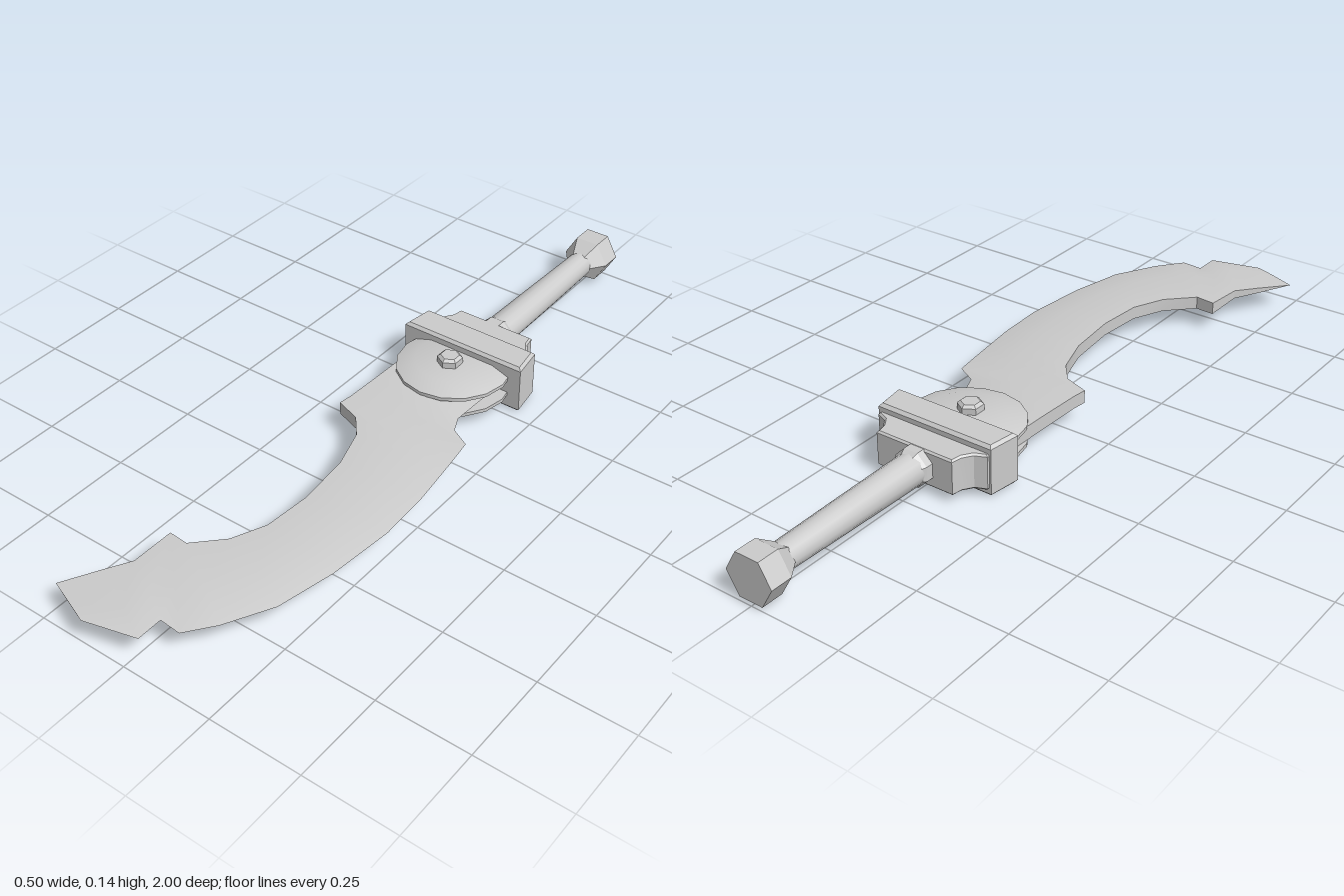
import * as THREE from 'three';
import { toCreasedNormals } from 'three/addons/utils/BufferGeometryUtils.js';

const MID = 0.07; // height of the flat symmetry plane
const material = new THREE.MeshStandardMaterial({ color: 0xcccccc });

function part(name, geometry, x = 0, y = MID, z = 0) {
  const mesh = new THREE.Mesh(toCreasedNormals(geometry, 0.5), material);
  mesh.name = name;
  mesh.position.set(x, y, z);
  return mesh;
}

// Plate with an outline in x,z and a chamfered rim, centred on the middle plane
function plate(outline, height, chamfer) {
  const shape = new THREE.Shape(outline.map(([x, z]) => new THREE.Vector2(x, z)));
  const depth = height - 2 * chamfer;
  return new THREE.ExtrudeGeometry(shape, {
    depth, bevelEnabled: true, bevelSegments: 1,
    bevelSize: chamfer, bevelThickness: chamfer, bevelOffset: -chamfer,
  }).translate(0, 0, -depth / 2).rotateX(Math.PI / 2);
}

// Lathe about y from radius, height pairs
function turned(profile, sides, phase = 0) {
  return new THREE.LatheGeometry(profile.map(p => new THREE.Vector2(...p)), sides, phase);
}

// Blade stations: spine x,z / cutting edge x,z / half thickness at spine and ridge
function bladeGeometry() {
  const stations = [
    [-0.12, -0.27, 0.14, -0.27, 0.02, 0.02],
    [-0.125, -0.10, 0.135, -0.085, 0.019, 0.02],
    [-0.13, 0.02, 0.155, -0.04, 0.018, 0.02],
    [-0.135, 0.06, 0.21, -0.01, 0.018, 0.02],
    [-0.065, 0.085, 0.222, 0.07, 0.018, 0.02],
    [-0.02, 0.14, 0.23, 0.13, 0.018, 0.02],
    [0.015, 0.25, 0.243, 0.23, 0.018, 0.02],
    [0.03, 0.40, 0.25, 0.37, 0.018, 0.02],
    [0.02, 0.53, 0.233, 0.555, 0.018, 0.02],
    [-0.02, 0.62, 0.2, 0.71, 0.018, 0.02],
    [-0.09, 0.69, 0.135, 0.83, 0.018, 0.02],
    [-0.145, 0.685, 0.08, 0.90, 0.017, 0.019],
    [-0.15, 0.80, 0.02, 0.895, 0.012, 0.015],
    [-0.19, 0.86, 0.02, 0.965, 0.008, 0.01],
    [-0.25, 0.95, -0.12, 1.0, 0, 0.001],
  ];
  const positions = [], index = [], n = 5;
  for (const [sx, sz, ex, ez, hs, hr] of stations) {
    const rx = sx + (ex - sx) * 0.58, rz = sz + (ez - sz) * 0.58;
    positions.push(sx, hs, sz, rx, hr, rz, ex, 0, ez, rx, -hr, rz, sx, -hs, sz);
  }
  const last = (stations.length - 1) * n;
  for (let i = 0; i < last; i += n) {
    for (let j = 0; j < n; j++) {
      const a = i + j, b = i + (j + 1) % n;
      index.push(a, a + n, b + n, a, b + n, b);
    }
  }
  for (let j = 1; j < n - 1; j++) {
    index.push(0, j, j + 1, last, last + j + 1, last + j);
  }
  const geometry = new THREE.BufferGeometry();
  geometry.setAttribute('position', new THREE.Float32BufferAttribute(positions, 3));
  geometry.setIndex(index);
  return geometry;
}

export function createModel() {
  const sword = new THREE.Group();
  sword.name = 'curvedSword';

  sword.add(part('blade', bladeGeometry()));

  // Round cheek plates and bolts above and below the blade root
  for (const side of [1, -1]) {
    const turn = side > 0 ? 0 : Math.PI;
    const cheek = turned([[0, 0.019], [0.155, 0.019], [0.155, 0.029], [0.105, 0.046], [0, 0.046]], 16);
    sword.add(part('cheekPlate', cheek.rotateX(turn), 0.012, MID, -0.242));
    const bolt = turned([[0.034, 0.04], [0.034, 0.063], [0.025, 0.07], [0, 0.07]], 6);
    sword.add(part('bolt', bolt.rotateX(turn), 0.012, MID, -0.222));
  }

  // Crossguard and the flared block behind it
  const bar = [[-0.172, -0.275], [-0.16, -0.365], [0.185, -0.365], [0.198, -0.275]];
  sword.add(part('crossguard', plate(bar, 0.14, 0.008)));
  const block = [[-0.155, -0.35], [-0.155, -0.372], [-0.125, -0.385], [-0.108, -0.41], [-0.103, -0.44],
    [0.127, -0.44], [0.133, -0.41], [0.15, -0.385], [0.18, -0.372], [0.18, -0.35]];
  sword.add(part('guardBlock', plate(block, 0.098, 0.005)));

  // Collar, grip and hexagonal pommel, turned along z
  const collar = turned([[0, -0.475], [0.043, -0.475], [0.052, -0.46], [0.052, -0.43]], 8, Math.PI / 8);
  sword.add(part('collar', collar.rotateX(Math.PI / 2), 0.004));
  const grip = turned([[0.036, -0.91], [0.04, -0.7], [0.044, -0.44]], 16);
  sword.add(part('grip', grip.rotateX(Math.PI / 2), 0.002));
  const pommel = turned([[0, -1], [0.068, -1], [0.068, -0.94], [0.036, -0.895], [0, -0.895]], 6, Math.PI / 6);
  sword.add(part('pommel', pommel.rotateX(Math.PI / 2)));

  return sword;
}
